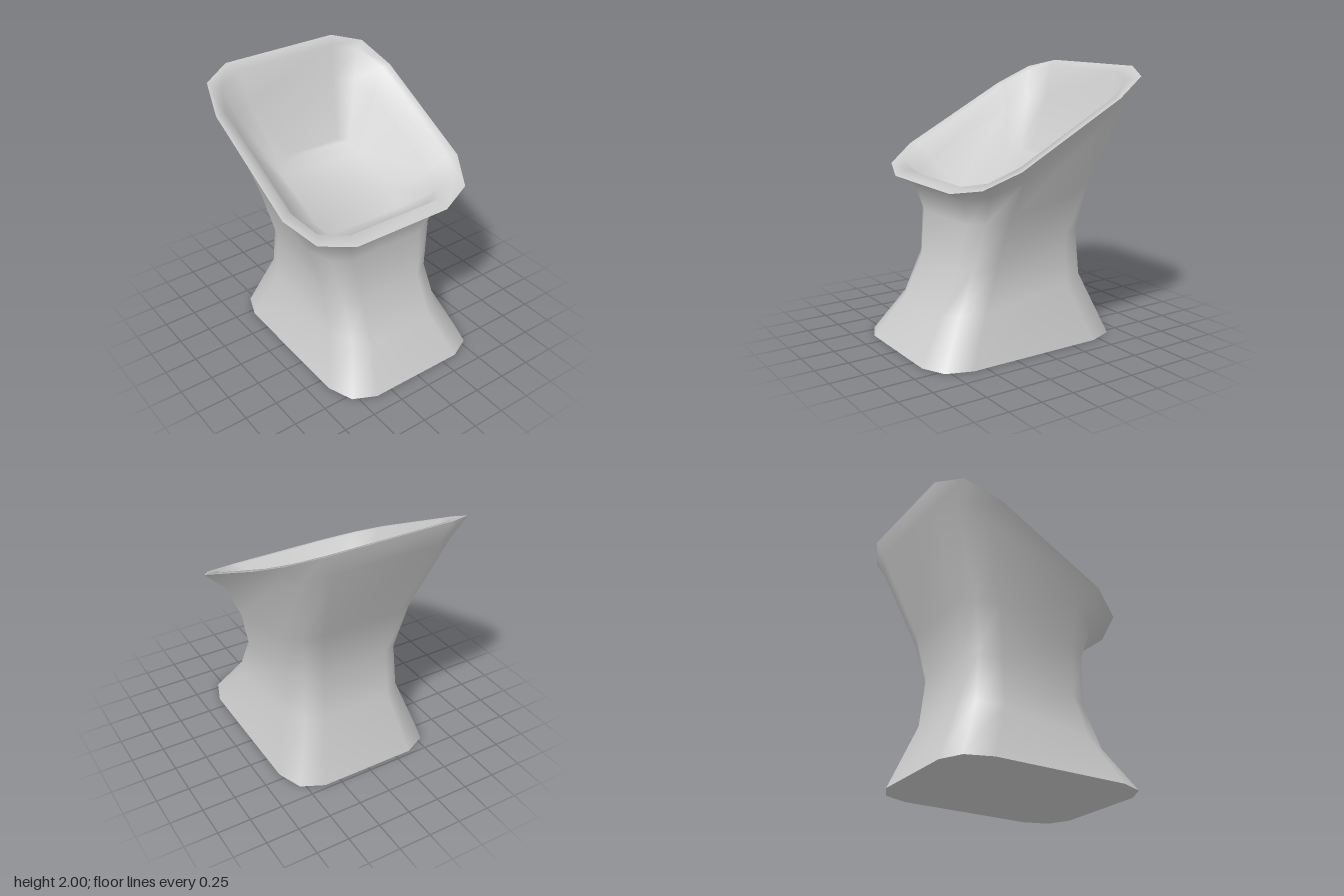
import * as THREE from 'three';

// Tilted rounded-rectangle ring of 12 points, counterclockwise from above.
// w: half width, front/back: [z, y] of each edge, fx/bx: half length of the
// straight front/back edge as a share of w, fc/bc: front/back corner length
// as a share of depth, m: how far the corner midpoints bulge out.
function ring({ w, front, back, fx = 0.57, bx = 0.57, fc = 0.21, bc = 0.21, m = 0.05 }) {
  const half = [
    [fx, 0], [(fx + 1) / 2 + m, fc * 0.3], [1, fc],
    [1, 1 - bc], [(bx + 1) / 2 + m, 1 - bc * 0.3], [bx, 1],
  ];
  const place = ([x, t], side) => [
    side * x * w,
    THREE.MathUtils.lerp(front[1], back[1], t),
    THREE.MathUtils.lerp(front[0], back[0], t),
  ];
  return [
    ...half.map((p) => place(p, 1)),
    ...half.slice().reverse().map((p) => place(p, -1)),
  ];
}

// Skin between successive rings; closeEnd fills the last ring with cross strips.
function loft(rings, closeEnd = false) {
  const n = rings[0].length;
  const index = [];
  for (let r = 0; r < rings.length - 1; r++) {
    for (let i = 0; i < n; i++) {
      const j = (i + 1) % n;
      const a = r * n + i, b = r * n + j;
      index.push(a, b, b + n, a, b + n, a + n);
    }
  }
  if (closeEnd) {
    const s = (rings.length - 1) * n;
    for (let i = 0; i < n / 2 - 1; i++) {
      const c = s + n - 2 - i;
      index.push(s + i, s + i + 1, c, s + i, c, c + 1);
    }
  }
  const g = new THREE.BufferGeometry();
  g.setAttribute('position', new THREE.Float32BufferAttribute(rings.flat(2), 3));
  g.setIndex(index);
  g.computeVertexNormals();
  return g;
}

export function createModel() {
  const group = new THREE.Group();
  const material = new THREE.MeshStandardMaterial({ color: 0xcccccc, side: THREE.DoubleSide });
  const add = (name, geometry) => {
    const mesh = new THREE.Mesh(geometry, material);
    mesh.name = name;
    group.add(mesh);
  };

  const foot = ring({ w: 0.61, front: [0.87, 0], back: [-0.72, 0], fx: 0.61, bx: 0.61, fc: 0.17, bc: 0.17, m: 0.08 });
  const rim = ring({ w: 0.77, front: [0.65, 1.2], back: [-0.875, 2], fx: 0.51, bx: 0.61, fc: 0.215, bc: 0.243, m: 0.09 });

  // Outer wall: flared foot, narrow waist, tilted flaring rim
  add('outerWall', loft([
    foot,
    ring({ w: 0.475, front: [0.665, 0.3], back: [-0.54, 0.46] }),
    ring({ w: 0.45, front: [0.52, 0.6], back: [-0.505, 0.83] }),
    ring({ w: 0.53, front: [0.465, 0.94], back: [-0.575, 1.2] }),
    ring({ w: 0.66, front: [0.51, 1.13], back: [-0.845, 1.84], fx: 0.54, bx: 0.6, fc: 0.22, bc: 0.23 }),
    rim,
  ]));

  // Bowl: flat lip in the rim's plane, steep wall, inner slope and tilted floor
  add('bowl', loft([
    rim,
    ring({ w: 0.69, front: [0.56, 1.24], back: [-0.79, 1.955], fx: 0.57, bx: 0.6, m: 0.08 }),
    ring({ w: 0.6, front: [0.46, 1.15], back: [-0.72, 1.72], fx: 0.6, bx: 0.62, m: 0.08 }),
    ring({ w: 0.36, front: [0.26, 1.0], back: [-0.47, 1.33], fx: 0.65, bx: 0.65 }),
  ], true));

  // Flat underside, wound to face down
  add('underside', loft([foot.slice().reverse()], true));

  return group;
}
